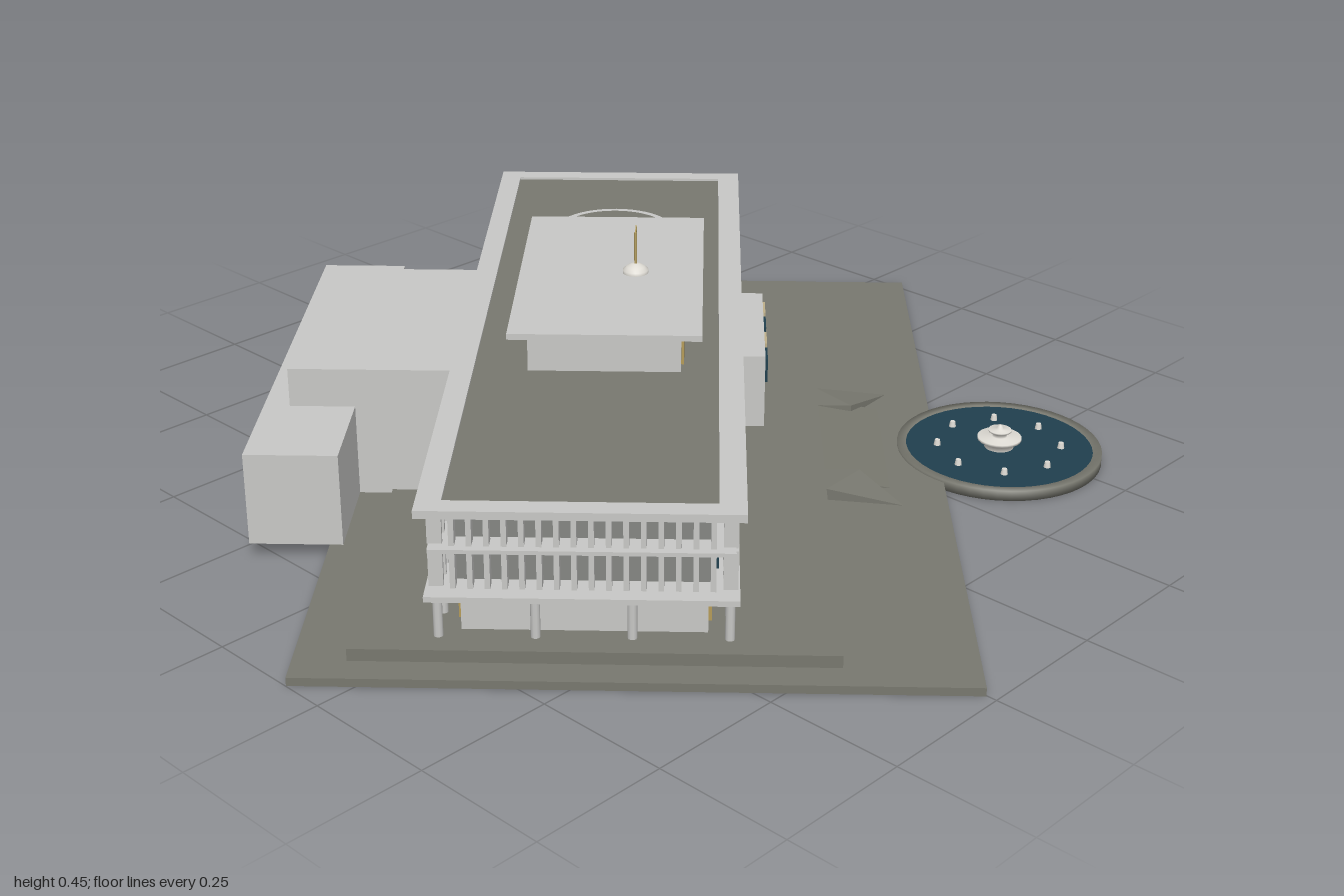
import * as THREE from 'three';
import { mergeGeometries } from 'three/addons/utils/BufferGeometryUtils.js';
import { ConvexGeometry } from 'three/addons/geometries/ConvexGeometry.js';

const material = (name, color, side = THREE.FrontSide) => {
  const m = new THREE.MeshStandardMaterial({ color, side });
  m.name = name;
  return m;
};

// Box given by its limits on x, y and z
const span = ([x0, x1, y0, y1, z0, z1]) =>
  new THREE.BoxGeometry(x1 - x0, y1 - y0, z1 - z0)
    .translate((x0 + x1) / 2, (y0 + y1) / 2, (z0 + z1) / 2);

export function createModel() {
  const stone = material('pale stone', 0xc8c8c6);
  const paving = material('dark paving', 0x78786f);
  const wall = material('shaded wall', 0x858683);
  const glass = material('blue glass', 0x203f4e);
  const gold = material('gold glass', 0xb59c58);
  const beige = material('beige panel', 0xbfb08a);
  const white = material('white stone', 0xdedbd4);
  const banner = material('flag gold', 0xb8a264, THREE.DoubleSide);

  const site = new THREE.Group();
  site.name = 'site';
  const add = (name, geo, mat) => {
    const m = new THREE.Mesh(geo, mat);
    m.name = name;
    site.add(m);
    return m;
  };
  const boxes = (name, mat, list) => add(name, mergeGeometries(list.map(span)), mat);

  // Ground and terrace
  boxes('groundSlab', paving, [[-0.85, 0.85, 0, 0.015, -0.552, 0.552]]);
  boxes('terrace', paving, [[-0.797, 0.797, 0.015, 0.037, -0.33, 0.463]]);

  // Entrance ramp with splayed cheeks
  const hull = (pts) => new ConvexGeometry(pts.map((p) => new THREE.Vector3(...p)));
  add('entranceRamp', hull([
    [-0.17, 0.014, -0.33], [0.17, 0.014, -0.33], [-0.17, 0.036, -0.33],
    [0.17, 0.036, -0.33], [-0.17, 0.015, -0.45], [0.17, 0.015, -0.45],
  ]), paving);
  for (const s of [-1, 1]) {
    add('rampCheek', hull([
      [s * 0.22, 0.014, -0.33], [s * 0.22, 0.037, -0.33], [s * 0.14, 0.037, -0.395],
      [s * 0.14, 0.014, -0.395], [s * 0.24, 0.015, -0.47], [s * 0.14, 0.037, -0.33],
    ]), paving);
  }

  // Main block: solid cores and projecting floor slabs
  boxes('groundFloorCore', stone, [[-0.73, 0.73, 0.037, 0.122, -0.115, 0.285]]);
  boxes('upperCore', wall, [[-0.73, 0.73, 0.13, 0.276, -0.125, 0.295]]);
  boxes('floorSlabs', stone, [
    [-0.79, 0.79, 0.12, 0.13, -0.165, 0.337],
    [-0.775, 0.775, 0.2, 0.207, -0.158, 0.33],
  ]);

  // Flat roof with a pale rim
  boxes('roofDeck', paving, [[-0.765, 0.765, 0.276, 0.285, -0.13, 0.305]]);
  boxes('roofRim', stone, [
    [-0.802, 0.802, 0.276, 0.29, -0.174, -0.13],
    [-0.802, 0.802, 0.276, 0.29, 0.305, 0.346],
    [-0.802, -0.765, 0.276, 0.29, -0.13, 0.305],
    [0.765, 0.802, 0.276, 0.29, -0.13, 0.305],
  ]);
  add('roofCircle', new THREE.RingGeometry(0.11, 0.122, 48).rotateX(-Math.PI / 2)
    .translate(-0.456, 0.2865, 0.086), stone);

  // Sunshade fins on both upper floors
  const floors = [[0.13, 0.2], [0.207, 0.276]];
  const fins = [];
  const bays = 40, pitch = 1.5 / bays;
  for (const [y0, y1] of floors) {
    for (let i = 0; i <= bays; i++) {
      const x = -0.75 + i * pitch;
      for (const z of [-0.15, 0.32]) fins.push([x - 0.0045, x + 0.0045, y0, y1, z - 0.012, z + 0.012]);
    }
    for (let i = 1; i < 17; i++) {
      const z = -0.15 + i * 0.47 / 17;
      for (const x of [-0.75, 0.75]) fins.push([x - 0.012, x + 0.012, y0, y1, z - 0.0045, z + 0.0045]);
    }
  }
  boxes('fins', stone, fins);

  // Thin window plates along the long sides
  const blueWindows = [], beigeWindows = [], goldWindows = [];
  for (const [z, s] of [[-0.125, -1], [0.295, 1]]) {
    const depth = [Math.min(z, z + s * 0.006), Math.max(z, z + s * 0.006)];
    floors.forEach(([y0, y1], f) => {
      for (let i = 1; i < bays - 1; i++) {
        const k = (i + f) % 4;
        if (k === 3) continue;
        const x = -0.75 + (i + 0.5) * pitch;
        (k === 0 ? beigeWindows : blueWindows)
          .push([x - 0.013, x + 0.013, y0 + 0.012, y1 - 0.01, ...depth]);
      }
    });
  }
  for (const [z0, z1] of [[-0.121, -0.115], [0.285, 0.291]]) {
    for (let i = 0; i < 24; i++) {
      const x = -0.69 + i * 0.06;
      goldWindows.push([x - 0.017, x + 0.017, 0.045, 0.113, z0, z1]);
    }
  }
  boxes('beigePanels', beige, beigeWindows);
  boxes('groundFloorWindows', gold, goldWindows);

  // Ground floor columns
  const columns = [];
  const column = (x, z) => columns.push(
    new THREE.CylinderGeometry(0.008, 0.008, 0.085, 10).translate(x, 0.079, z));
  for (let i = 0; i <= 20; i++) {
    for (const z of [-0.15, 0.32]) column(-0.75 + i * 0.075, z);
  }
  for (const x of [-0.75, 0.75]) for (const z of [0.007, 0.163]) column(x, z);
  add('columns', mergeGeometries(columns), stone);

  // Projecting bay over the entrance
  boxes('entranceBay', stone, [[-0.152, 0.152, 0.13, 0.27, -0.215, -0.12]]);
  [0.11, 0.037, -0.037, -0.11].forEach((x, i) => {
    (i % 2 ? beigeWindows : blueWindows).push([x - 0.027, x + 0.027, 0.213, 0.258, -0.22, -0.215]);
  });
  boxes('bayBeigePanels', beige, beigeWindows.slice(-2));
  blueWindows.push([-0.137, -0.083, 0.14, 0.185, -0.22, -0.215]);
  boxes('blueWindows', glass, blueWindows);

  // Penthouse with a glazed front
  boxes('penthouse', stone, [[-0.258, 0.258, 0.284, 0.36, -0.063, 0.209]]);
  boxes('penthouseRoof', stone, [[-0.298, 0.295, 0.36, 0.371, -0.1, 0.242]]);
  boxes('penthouseWindows', gold, Array.from({ length: 12 }, (_, i) => {
    const x = -0.231 + i * 0.042;
    return [x - 0.015, x + 0.015, 0.295, 0.353, -0.068, -0.063];
  }));

  // Rear annex: tall hall and lower cross wing
  boxes('rearHall', stone, [[-0.245, 0.243, 0.03, 0.276, 0.29, 0.641]]);
  boxes('rearWing', stone, [[-0.447, 0.442, 0.03, 0.203, 0.523, 0.688]]);

  // Flagpole
  const lathe = (pts, n) => new THREE.LatheGeometry(pts.map((p) => new THREE.Vector2(...p)), n);
  add('flagBase', lathe([[0.024, 0], [0.024, 0.006], [0.017, 0.012], [0.008, 0.017], [0, 0.018]], 24)
    .translate(-0.003, 0.371, 0.026), white);
  add('flagpole', new THREE.CylinderGeometry(0.0025, 0.0025, 0.07, 8)
    .translate(-0.003, 0.415, 0.026), banner);
  boxes('flag', banner, [[-0.042, -0.003, 0.425, 0.45, 0.025, 0.027]]);

  // Fountain: basin, water, ring of jets and tiered centrepiece
  const fx = -0.007, fz = -0.672;
  add('fountainBasin', lathe([[0, 0], [0.195, 0], [0.195, 0.02], [0.178, 0.02], [0.178, 0.012], [0, 0.012]], 48)
    .translate(fx, 0, fz), paving);
  add('fountainWater', new THREE.CircleGeometry(0.179, 48).rotateX(-Math.PI / 2)
    .translate(fx, 0.017, fz), glass);
  const jets = [];
  for (let i = 0; i < 8; i++) {
    const t = i * Math.PI / 4 + 0.82;
    jets.push(new THREE.CylinderGeometry(0.005, 0.007, 0.012, 10)
      .translate(fx + Math.cos(t) * 0.118, 0.022, fz + Math.sin(t) * 0.118));
  }
  add('fountainJets', mergeGeometries(jets), white);
  add('fountainCentre', lathe([
    [0.028, 0.015], [0.028, 0.026], [0.042, 0.033], [0.042, 0.038], [0.014, 0.039],
    [0.014, 0.046], [0.022, 0.05], [0.022, 0.053], [0.006, 0.054], [0.004, 0.062], [0, 0.063],
  ], 24).translate(fx, 0, fz), white);

  site.rotation.y = -0.827;
  const model = new THREE.Group();
  model.name = 'civicBuilding';
  model.add(site);
  return model;
}
